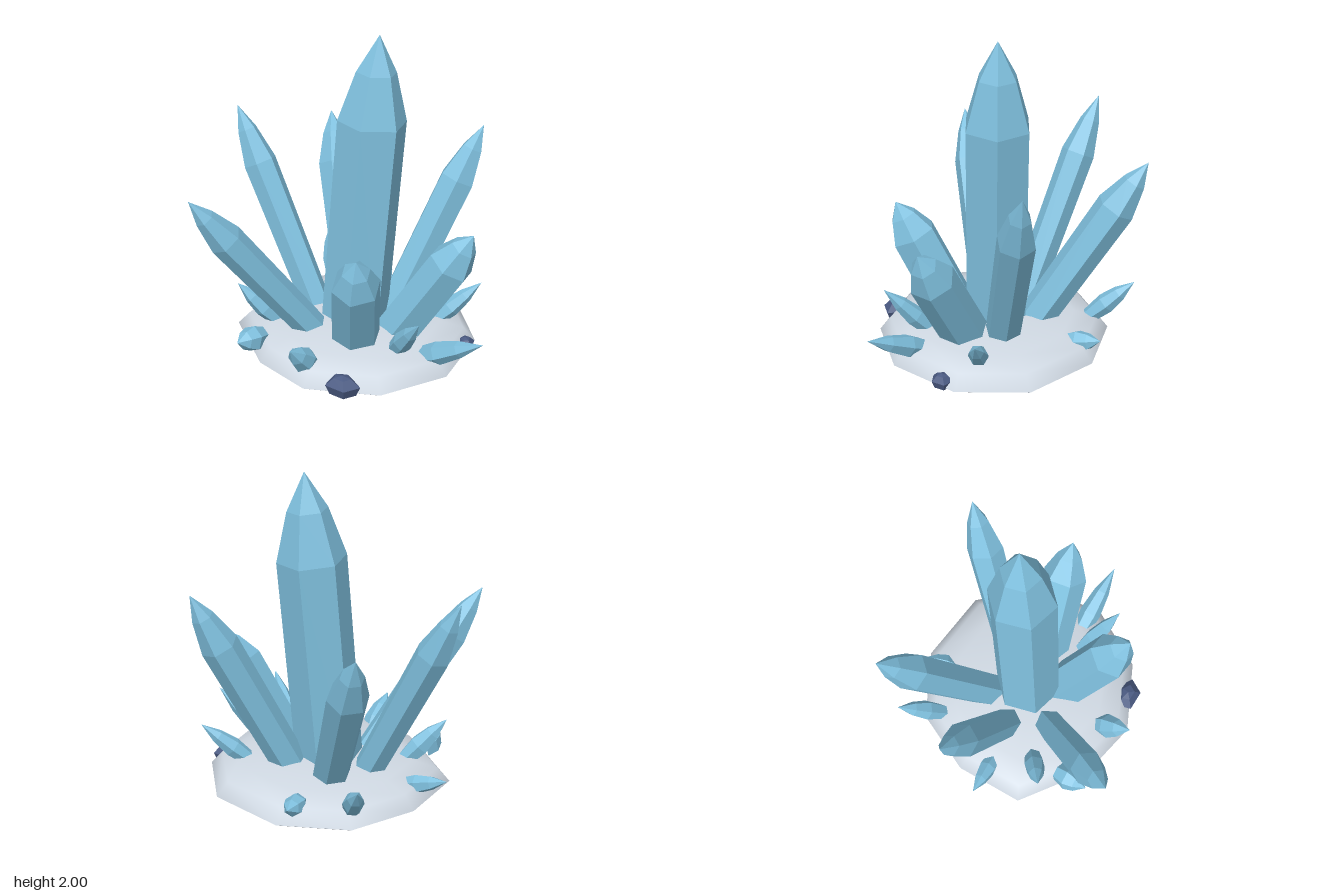
import * as THREE from 'three';
import { mergeVertices } from 'three/addons/utils/BufferGeometryUtils.js';

const V2 = (x, y) => new THREE.Vector2(x, y);

export function createModel() {
  const group = new THREE.Group();
  const crystalBlue = new THREE.MeshStandardMaterial({ name: 'crystalBlue', color: 0x7fc0de, flatShading: true });
  const paleStone = new THREE.MeshStandardMaterial({ name: 'paleStone', color: 0xd0d9e3, side: THREE.DoubleSide });
  const navyRock = new THREE.MeshStandardMaterial({ name: 'navyRock', color: 0x4a5a82, flatShading: true });

  // Hollow stone mound: a ten-sided shell with an inward lip and uneven corners
  const corners = [
    [-0.03, 0.72], [0.42, 0.59], [0.70, 0.24], [0.71, -0.23], [0.45, -0.60],
    [-0.03, -0.73], [-0.46, -0.58], [-0.70, -0.22], [-0.76, 0.22], [-0.40, 0.58],
  ];
  const rings = [[0.88, 0.035], [0.97, 0.005], [1, 0.02], [0.9, 0.105], [0.7, 0.145], [0.38, 0.173], [0, 0.178]];
  const mound = new THREE.LatheGeometry(rings.map(([f, y]) => V2(f, y)), corners.length);
  const pos = mound.attributes.position;
  for (let i = 0; i < pos.count; i++) {
    const [x, z] = corners[Math.floor(i / rings.length) % corners.length];
    const f = rings[i % rings.length][0];
    pos.setX(i, x * f);
    pos.setZ(i, z * f);
  }
  mound.deleteAttribute('uv');
  mound.deleteAttribute('normal');
  const smoothMound = mergeVertices(mound);
  smoothMound.computeVertexNormals();
  const moundMesh = new THREE.Mesh(smoothMound, paleStone);
  moundMesh.name = 'stoneMound';
  group.add(moundMesh);

  // Crystal: six-sided profile [radius factor, length fraction] aimed from base to tip,
  // left open at the foot, which is buried in the mound
  const up = new THREE.Vector3(0, 1, 0);
  function addCrystal(name, base, tip, radius, turn, profile) {
    const start = new THREE.Vector3(...base);
    const axis = new THREE.Vector3(...tip).sub(start);
    const length = axis.length();
    const points = profile.map(([r, t]) => V2(r * radius, t * length));
    const geometry = new THREE.LatheGeometry(points, 6, THREE.MathUtils.degToRad(turn));
    const mesh = new THREE.Mesh(geometry, crystalBlue);
    mesh.quaternion.setFromUnitVectors(up, axis.normalize());
    mesh.position.copy(start);
    mesh.name = name;
    group.add(mesh);
  }

  // Large crystals
  const column = (foot) => [[foot, 0], [1, 0.73], [0.58, 0.885], [0, 1]];
  addCrystal('mainCrystal', [-0.035, 0.03, 0], [0.09, 2, -0.10], 0.214, 6, column(1));
  const large = [
    ['leftCrystal', [-0.29, 0.08, -0.03], [-0.93, 1.375, -0.17], 0.108, 20, 0.9],
    ['backLeftCrystal', [-0.13, 0.08, -0.21], [-0.555, 1.19, -0.76], 0.125, 10, 0.92],
    ['frontLeftCrystal', [-0.19, 0.07, 0.19], [-0.73, 1.135, 0.765], 0.108, 25, 0.9],
    ['backRightCrystal', [0.14, 0.08, -0.17], [0.575, 1.33, -0.615], 0.118, 15, 0.95],
    ['rightCrystal', [0.25, 0.08, 0.01], [0.75, 0.875, -0.01], 0.145, 0, 1.03],
    ['frontCrystal', [0.075, 0.07, 0.2], [0.25, 0.865, 0.57], 0.15, 12, 1.03],
  ];
  for (const [name, base, tip, r, turn, foot] of large) addCrystal(name, base, tip, r, turn, column(foot));

  // Small spikes around the mound
  const spike = [[0.75, 0], [1, 0.38], [0.72, 0.68], [0, 1]];
  const small = [
    [[0.44, 0.04, 0.16], [0.925, 0.305, 0.245], 0.072],
    [[0.34, 0.1, 0.22], [0.58, 0.44, 0.405], 0.064],
    [[0.42, 0.09, -0.21], [0.69, 0.36, -0.37], 0.062],
    [[-0.08, 0.045, 0.5], [-0.1, 0.275, 0.745], 0.08],
    [[-0.45, 0.1, 0.2], [-0.685, 0.385, 0.33], 0.07],
    [[-0.53, 0.06, -0.03], [-0.845, 0.175, -0.06], 0.06],
    [[-0.49, 0.09, 0.4], [-0.54, 0.14, 0.61], 0.085],
    [[-0.4, 0.09, -0.47], [-0.55, 0.35, -0.71], 0.066],
    [[-0.08, 0.07, -0.5], [-0.11, 0.14, -0.735], 0.072],
  ];
  small.forEach(([base, tip, r], i) => addCrystal('smallCrystal' + (i + 1), base, tip, r, i * 17, spike));

  // Dark rocks with flat bottoms, two along the rim and two under the mound
  const rockProfile = [[0, 0], [0.76, 0], [1, 0.5], [0.5, 0.88], [0, 1]].map(([r, y]) => V2(r, y));
  const rocks = [
    [[0.19, 0.002, 0.635], [0.115, 0.122, 0.085], 0.4],
    [[0.685, 0.008, -0.12], [0.062, 0.088, 0.072], 1.1],
    [[-0.45, 0.01, 0.04], [0.12, 0.12, 0.1], 2.0],
    [[-0.34, 0.01, -0.4], [0.09, 0.11, 0.08], 0.8],
  ];
  rocks.forEach(([foot, size, turn], i) => {
    const geometry = new THREE.LatheGeometry(rockProfile, 5).rotateY(turn).scale(...size);
    const rock = new THREE.Mesh(geometry, navyRock);
    rock.position.set(...foot);
    rock.name = 'darkRock' + (i + 1);
    group.add(rock);
  });

  return group;
}
